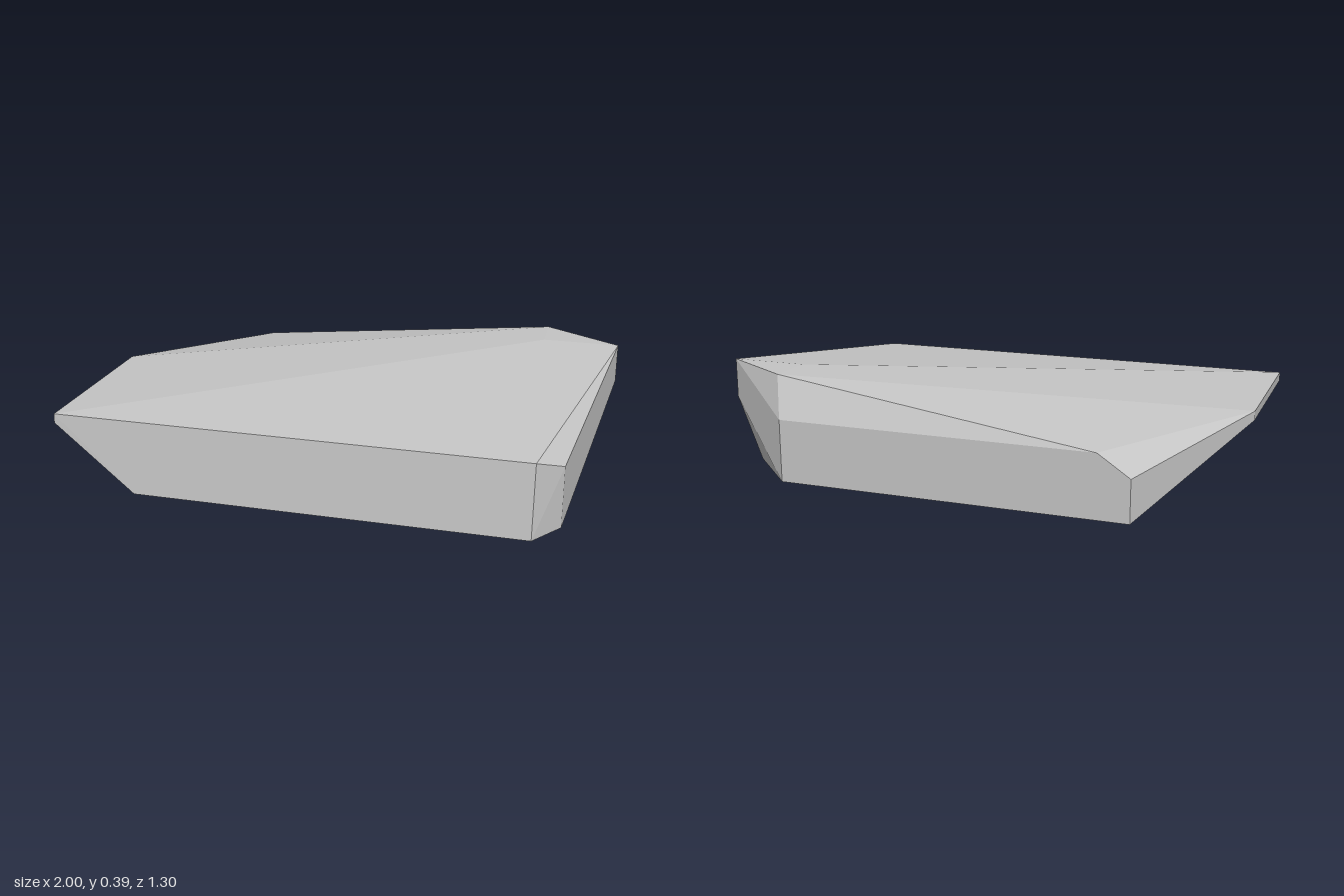
import * as THREE from 'three';
import { ConvexGeometry } from 'three/addons/geometries/ConvexGeometry.js';

const stone = new THREE.MeshStandardMaterial({ color: 0xc4c4c4 });
stone.name = 'stoneGrey';

export function createModel() {
  const group = new THREE.Group();
  group.name = 'rock';

  // flat footprint resting on the ground
  const base = [
    [-0.685, 0, 0.648], [0.79, 0, 0.648], [0.88, 0, 0.52],
    [0.88, 0, -0.418], [0.655, 0, -0.648], [-0.685, 0, -0.648],
  ];
  // chipped edges around the sides, below the rim
  const sides = [
    [-1, 0.245, 0.625], [-1, 0.245, -0.06], [-0.685, 0.16, -0.648],
    [-0.565, 0.24, -0.648], [0.655, 0.24, -0.648], [1, 0.24, -0.385],
    [0.88, 0.235, 0.52],
  ];
  // sloping top, highest at the back corner
  const top = [
    [-1, 0.28, 0.623], [0.79, 0.28, 0.623], [1, 0.393, -0.385],
    [0.7, 0.393, -0.385], [0.7, 0.393, -0.57], [-1, 0.28, -0.06],
  ];

  // faceted slab: the hull around all corners, one flat normal per facet
  const corners = [...base, ...sides, ...top].map((p) => new THREE.Vector3(...p));
  const slab = new THREE.Mesh(new ConvexGeometry(corners), stone);
  slab.name = 'rockSlab';
  group.add(slab);
  return group;
}
